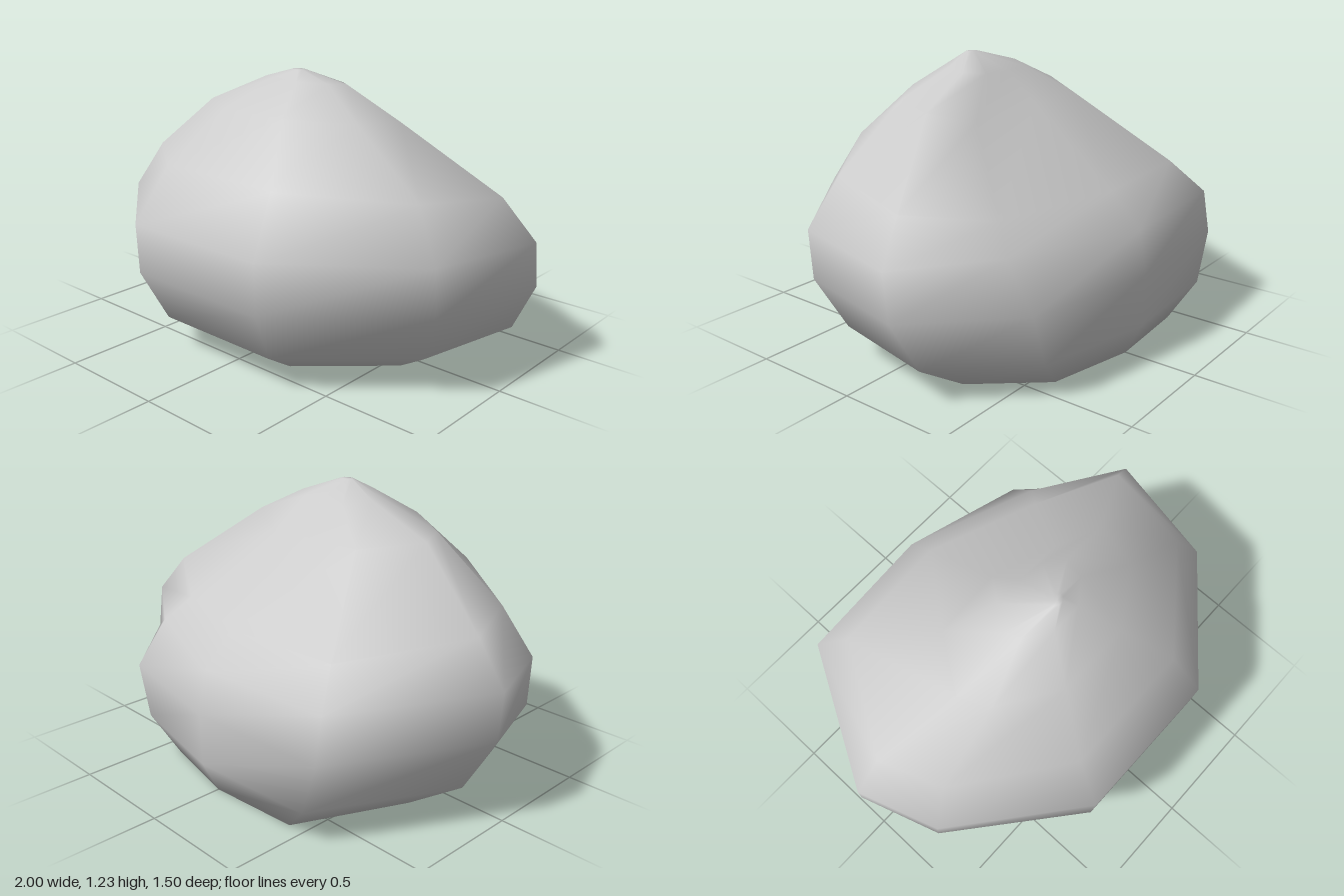
import * as THREE from 'three';

// Plan outline of the boulder at its widest, clockwise from the back (x, z)
const outline = [
  [0, -0.75], [0.62, -0.63], [1, -0.25], [0.88, 0.3], [0.35, 0.74],
  [-0.35, 0.74], [-0.88, 0.3], [-1, -0.07], [-0.65, -0.71],
];

// Cross-sections from base to peak: centre x, half width, back z, front z, back y, front y
const rings = [
  [0, 0.65, -0.67, 0.42, 0.0, 0.01],
  [0, 0.88, -0.745, 0.63, 0.15, 0.15],
  [0, 1, -0.75, 0.74, 0.38, 0.38],
  [0, 1, -0.715, 0.75, 0.57, 0.6],
  [0, 0.86, -0.57, 0.6, 0.71, 0.84],
  [0, 0.48, -0.17, 0.39, 1.03, 1.07],
  [0.02, 0.2, -0.04, 0.22, 1.16, 1.19],
  [0.04, 0.03, 0.13, 0.17, 1.23, 1.23],
];

function boulderGeometry() {
  const n = outline.length;
  const pos = [];
  const index = [];
  rings.forEach(([cx, half, zb, zf, yb, yf], r) => {
    outline.forEach(([ox, oz], c) => {
      // the back corner on one side is worn in above the middle
      const worn = c === 1 && r > 2 && r < 6;
      const t = ((worn ? oz * 0.82 : oz) + 0.75) / 1.49;
      pos.push(
        cx + ox * half * (worn ? 0.97 : 1),
        THREE.MathUtils.lerp(yb, yf, t) - (worn && r > 3 ? 0.05 : 0),
        THREE.MathUtils.lerp(zb, zf, t),
      );
    });
  });
  // skin between neighbouring cross-sections
  for (let r = 0; r < rings.length - 1; r++) {
    for (let c = 0; c < n; c++) {
      const a = r * n + c, b = r * n + (c + 1) % n;
      index.push(a, a + n, b, b, a + n, b + n);
    }
  }
  // flat base and small cap on the peak
  const base = pos.length / 3, top = base + 1, last = (rings.length - 1) * n;
  pos.push(0, 0, -0.12, 0.04, 1.23, 0.15);
  for (let c = 0; c < n; c++) {
    const d = (c + 1) % n;
    index.push(base, c, d, top, last + d, last + c);
  }
  const g = new THREE.BufferGeometry();
  g.setAttribute('position', new THREE.Float32BufferAttribute(pos, 3));
  g.setIndex(index);
  g.computeVertexNormals();
  return g;
}

export function createModel() {
  const group = new THREE.Group();
  group.name = 'rock';
  const boulder = new THREE.Mesh(
    boulderGeometry(),
    new THREE.MeshStandardMaterial({ color: 0xcccccc }),
  );
  boulder.name = 'boulder';
  group.add(boulder);
  return group;
}
